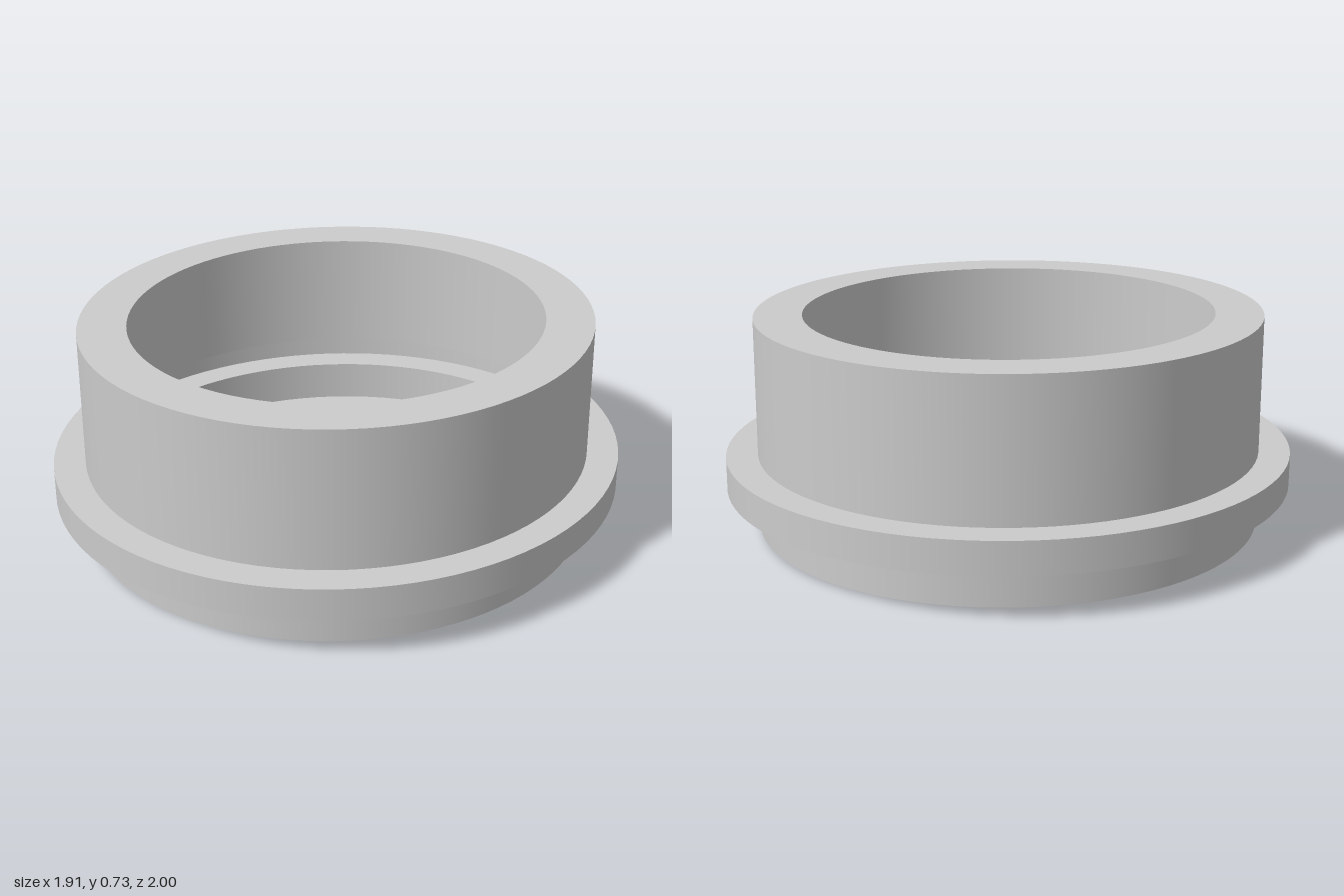
import * as THREE from 'three';

export function createModel() {
  const group = new THREE.Group();
  group.name = 'flangedCollar';
  const material = new THREE.MeshStandardMaterial({ color: 0xcccccc, side: THREE.DoubleSide });

  // One hard-edged band of the thin oval shell, from (r0, y0) to (r1, y1)
  const addBand = (name, r0, y0, r1, y1) => {
    const profile = [new THREE.Vector2(r0, y0), new THREE.Vector2(r1, y1)];
    const geometry = new THREE.LatheGeometry(profile, 96);
    geometry.scale(0.955, 1, 1);
    const mesh = new THREE.Mesh(geometry, material);
    mesh.name = name;
    group.add(mesh);
  };

  const wall = 0.89, flange = 1;
  const height = 0.716, flangeBottom = 0.141, flangeTop = 0.251;

  // Shell from the lower opening up to the upper opening
  addBand('bottomRim', 0.743, 0, wall, 0);
  addBand('lowerWall', wall, 0, wall, flangeBottom);
  addBand('flangeUnderside', wall, flangeBottom, flange, flangeBottom);
  addBand('flangeEdge', flange, flangeBottom, flange, flangeTop);
  addBand('flangeTop', flange, flangeTop, wall, flangeTop);
  addBand('upperWall', wall, flangeTop, wall, height);
  addBand('topRim', wall, height, 0.722, height);

  // Slight lean, back edge a little higher
  group.rotation.x = 0.0066;
  group.position.y = 0.006;
  const root = new THREE.Group();
  root.name = 'collar';
  root.add(group);
  return root;
}
